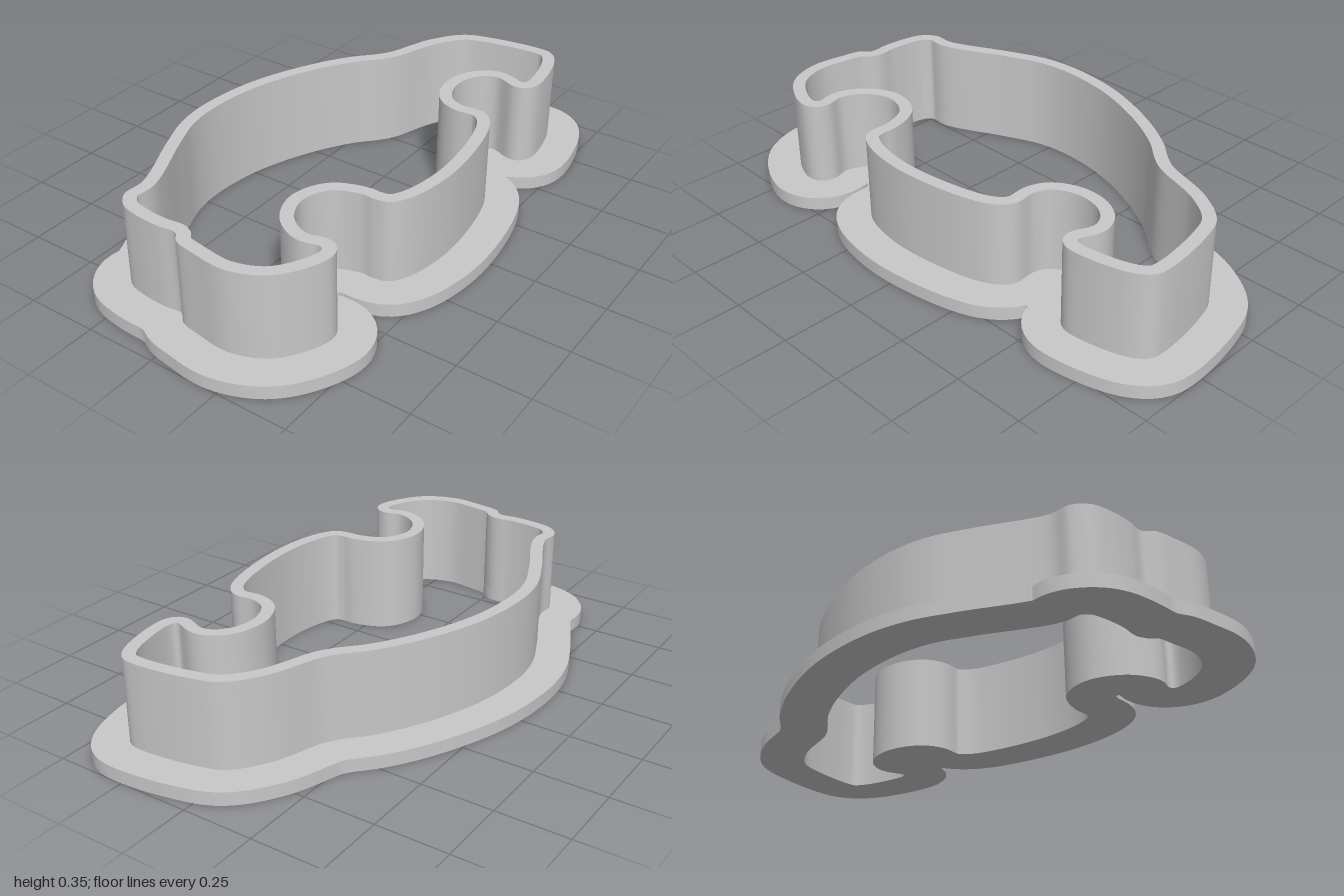
import * as THREE from 'three';
import { toCreasedNormals } from 'three/addons/utils/BufferGeometryUtils.js';

// outer face of the cutting wall, as [x, z] seen from above, clockwise
const OUTLINE = [
  // tail
  [-0.88, 0.2], [-0.87, 0.08], [-0.852, 0], [-0.822, -0.03], [-0.826, -0.1], [-0.82, -0.19],
  [-0.8, -0.26], [-0.75, -0.3], [-0.675, -0.3],
  // roof
  [-0.45, -0.4], [-0.315, -0.453], [-0.18, -0.47], [0.03, -0.445], [0.245, -0.365], [0.405, -0.27],
  [0.49, -0.195], [0.535, -0.165],
  // nose
  [0.71, -0.1], [0.82, -0.015], [0.855, 0.08], [0.88, 0.27], [0.87, 0.33], [0.81, 0.375],
  [0.61, 0.41], [0.565, 0.385], [0.555, 0.345],
  // wheel arch
  [0.582, 0.265], [0.563, 0.218], [0.51, 0.182], [0.43, 0.175], [0.355, 0.21], [0.33, 0.26], [0.33, 0.345],
  // sill
  [0.29, 0.395], [0.19, 0.435], [-0.075, 0.467], [-0.26, 0.437], [-0.325, 0.395], [-0.338, 0.345],
  // wheel arch
  [-0.338, 0.3], [-0.376, 0.208], [-0.468, 0.17], [-0.56, 0.208], [-0.602, 0.285],
  // rear bumper
  [-0.589, 0.35], [-0.605, 0.395], [-0.65, 0.415], [-0.74, 0.388], [-0.835, 0.315],
];

const WALL = 0.044, FLANGE = 0.12, FLANGE_HEIGHT = 0.047, HEIGHT = 0.347, STEPS = 480;

export function createModel() {
  const grey = new THREE.MeshStandardMaterial({ color: 0xc8c8c8 });
  grey.name = 'grey plastic';

  const curve = new THREE.CatmullRomCurve3(
    OUTLINE.map(([x, z]) => new THREE.Vector3(x, -z, 0)), true, 'centripetal');
  curve.arcLengthDivisions = 2000;
  const base = [], normals = [];
  for (let i = 0; i < STEPS; i++) {
    const p = curve.getPointAt(i / STEPS), t = curve.getTangentAt(i / STEPS);
    base.push(new THREE.Vector2(p.x, p.y));
    normals.push(new THREE.Vector2(-t.y, t.x).normalize());
  }

  // parallel outline; points that fold back too close to the wall are dropped
  const offset = (d) => base
    .map((p, i) => p.clone().addScaledVector(normals[i], d))
    .filter((q) => base.every((p) => p.distanceTo(q) > Math.abs(d) - 0.001));

  // the hole runs against the outer outline, so its walls face inward
  const inner = offset(-WALL).reverse();

  // ring between an outer outline and the inner one
  const ring = (name, outer, y, height) => {
    const shape = new THREE.Shape(outer);
    shape.holes.push(new THREE.Path(inner));
    const geometry = new THREE.ExtrudeGeometry(shape, { depth: height, bevelEnabled: false, steps: 1 });
    geometry.rotateX(-Math.PI / 2);
    geometry.translate(0, y, 0);
    const mesh = new THREE.Mesh(toCreasedNormals(geometry, 0.6), grey);
    mesh.name = name;
    return mesh;
  };

  const group = new THREE.Group();
  group.name = 'cookieCutter';
  group.add(
    ring('gripFlange', offset(FLANGE), 0, FLANGE_HEIGHT),
    ring('cuttingWall', base, FLANGE_HEIGHT, HEIGHT - FLANGE_HEIGHT),
  );
  return group;
}
